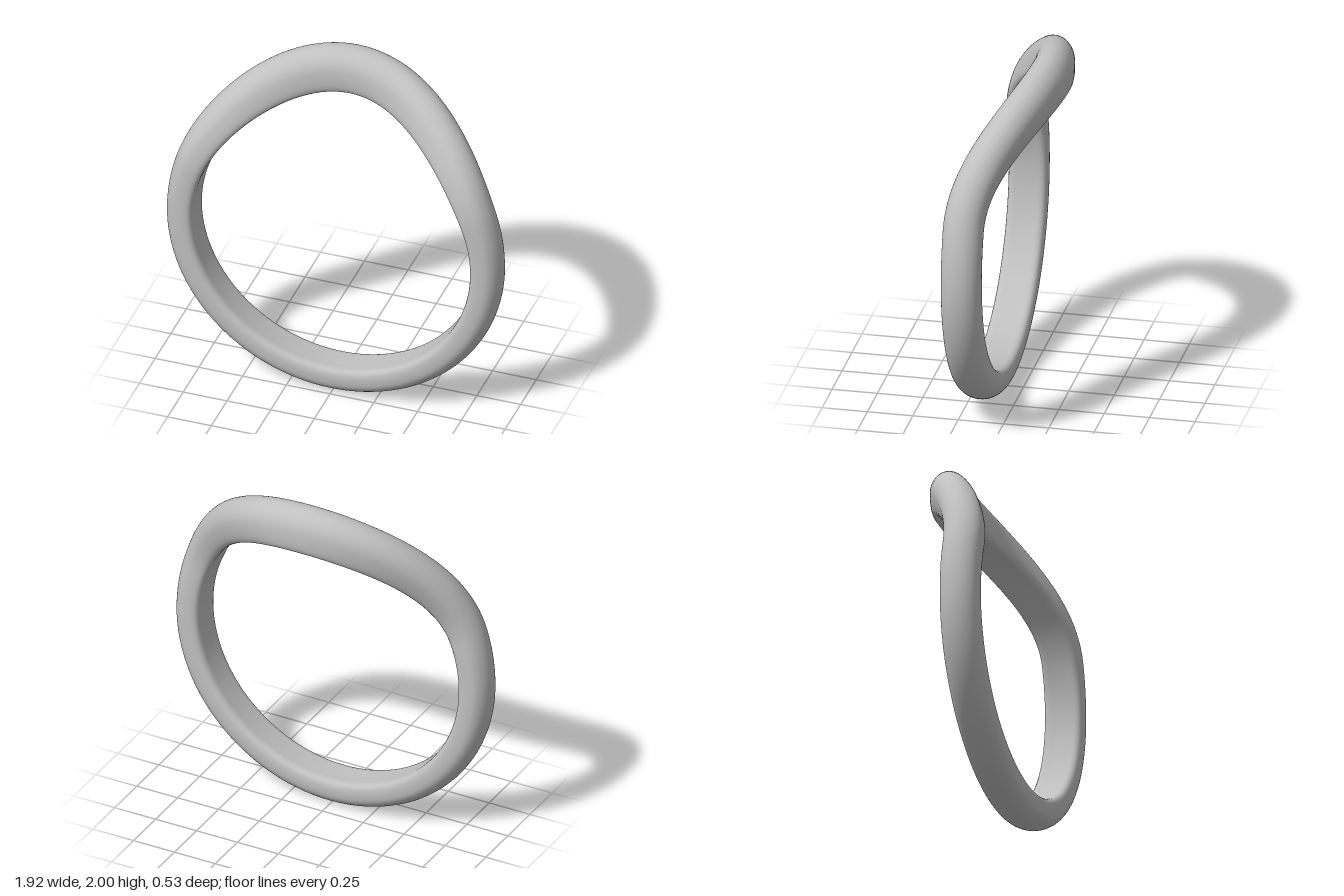
import * as THREE from 'three';

const STEPS = 160, RING = 48;
const INNER = 0.795, THICK = 0.162, CENTRE_Y = 0.957;

// The ring swings backwards around its top; phi is measured from the top.
const SWING = THREE.MathUtils.degToRad(70);
function swingZ(phi) {
  const a = Math.min(Math.abs(phi) / SWING, 1);
  return 0.155 - 0.31 * Math.cos(a * Math.PI / 2) ** 2;
}

// D-shaped section: [distance from the inner face, offset along the ring's axis]
function sectionPoints() {
  const half = [[0, 0.04], [0.001, 0.082], [0.012, 0.1], [0.04, 0.108], [0.08, 0.107],
    [0.105, 0.101], [0.131, 0.082], [0.151, 0.052], [0.161, 0.018]];
  const mirrored = half.map(([r, a]) => [r, -a]).reverse();
  const pts = [...half, ...mirrored].map(([r, a]) => new THREE.Vector3(r, a, 0));
  return new THREE.CatmullRomCurve3(pts, true, 'centripetal').getSpacedPoints(RING).slice(0, RING);
}

function ringGeometry() {
  const section = sectionPoints();
  const positions = [], indices = [];
  for (let i = 0; i < STEPS; i++) {
    const phi = (i / STEPS) * Math.PI * 2 - Math.PI;
    const s = Math.sin(phi), c = Math.cos(phi);
    // the section turns with the slope of the swing
    const k = (swingZ(phi + 0.001) - swingZ(phi - 0.001)) / 0.002 / 0.9;
    const axis = new THREE.Vector3(-k * c, k * s, 1).normalize();
    // the band is thicker towards the top
    const grow = 1 + 0.53 * Math.max(c, 0) ** 2;
    for (const q of section) {
      const r = INNER + q.x * grow * THICK / 0.161;
      const v = new THREE.Vector3(r * s, CENTRE_Y + r * c, swingZ(phi)).addScaledVector(axis, q.y);
      positions.push(v.x, v.y, v.z);
    }
    for (let j = 0; j < RING; j++) {
      const next = ((i + 1) % STEPS) * RING, j1 = (j + 1) % RING;
      const a = i * RING + j, b = i * RING + j1, d = next + j, e = next + j1;
      indices.push(a, d, b, b, d, e);
    }
  }
  const geo = new THREE.BufferGeometry();
  geo.setAttribute('position', new THREE.Float32BufferAttribute(positions, 3));
  geo.setIndex(indices);
  geo.computeVertexNormals();
  return geo;
}

export function createModel() {
  const group = new THREE.Group();
  group.name = 'bentRing';
  const grey = new THREE.MeshStandardMaterial({ color: 0xc0c0c0 });
  grey.name = 'light grey';
  const band = new THREE.Mesh(ringGeometry(), grey);
  band.name = 'band';
  group.add(band);
  return group;
}
